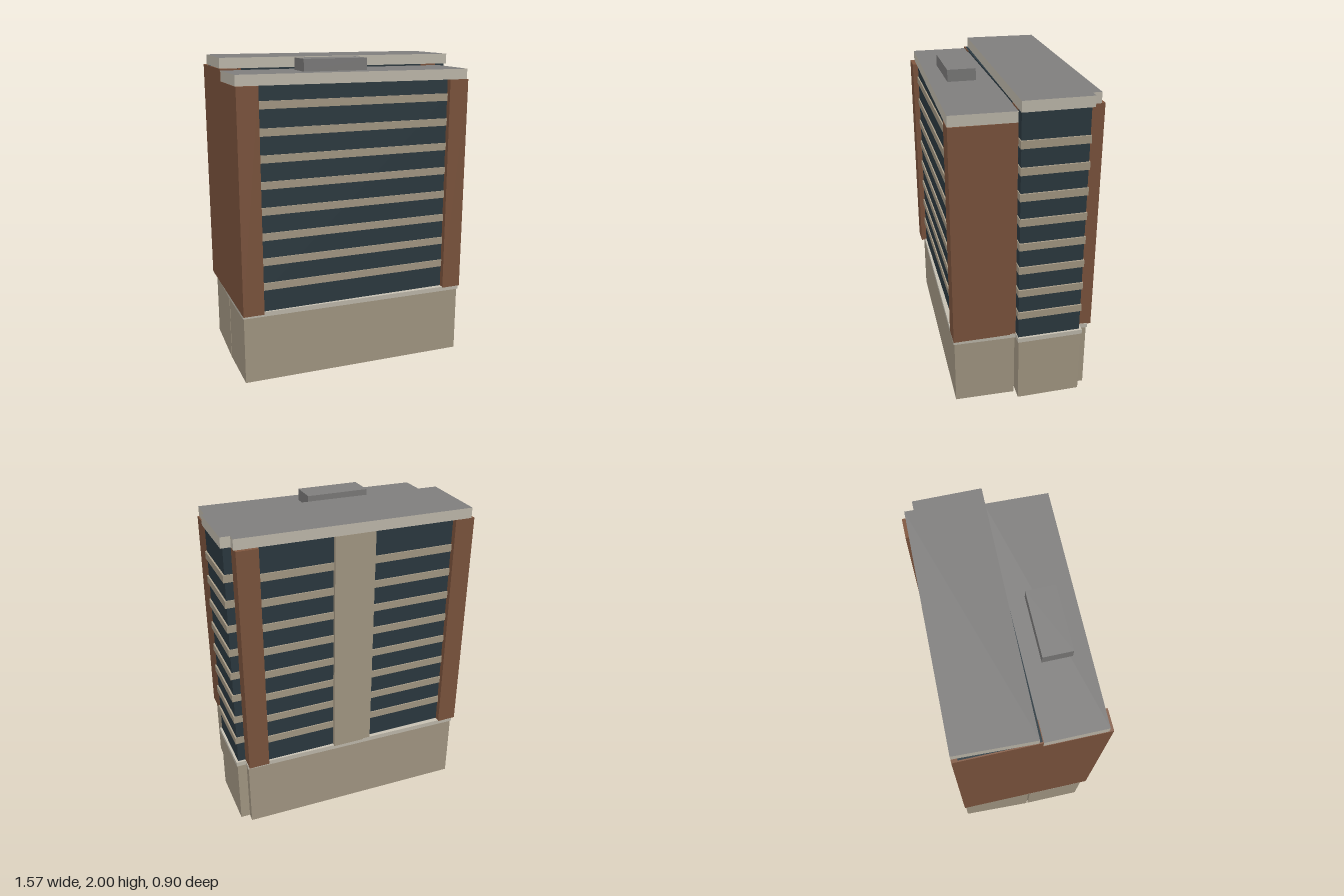
import * as THREE from 'three';

const flat = (name, color) => Object.assign(new THREE.MeshStandardMaterial({ color }), { name });

export function createModel() {
  const brick = flat('brick', 0x80573f);
  const glass = flat('dark glass', 0x2d3b42);
  const stone = flat('tan stone', 0xa99d88);
  const trim = flat('pale trim', 0xc6c0b2);
  const roofGrey = flat('roof grey', 0x7f7e7d);

  const model = new THREE.Group();
  model.name = 'officeTower';

  // box given by its limits on each axis
  function block(name, mat, x0, x1, y0, y1, z0, z1, parent = model) {
    const mesh = new THREE.Mesh(new THREE.BoxGeometry(x1 - x0, y1 - y0, z1 - z0), mat);
    mesh.position.set((x0 + x1) / 2, (y0 + y1) / 2, (z0 + z1) / 2);
    mesh.name = name;
    parent.add(mesh);
  }

  // footprint outline [x, z] raised from y0 to y1, drawn in by a small margin
  function slab(name, mats, outline, y0, y1, margin = 0) {
    const xs = outline.map(p => p[0]), zs = outline.map(p => p[1]);
    const cx = (Math.min(...xs) + Math.max(...xs)) / 2;
    const cz = (Math.min(...zs) + Math.max(...zs)) / 2;
    const shape = new THREE.Shape(outline.map(([x, z]) => new THREE.Vector2(
      x - Math.sign(x - cx) * margin, -(z - Math.sign(z - cz) * margin))));
    const geo = new THREE.ExtrudeGeometry(shape, { depth: y1 - y0, bevelEnabled: false });
    geo.rotateX(-Math.PI / 2).translate(0, y0, 0);
    const mesh = new THREE.Mesh(geo, mats);
    mesh.name = name;
    model.add(mesh);
  }

  // slightly skewed footprints of the two slabs
  const frontPlan = [[-0.785, 0.026], [0.725, 0.05], [0.714, 0.445], [-0.785, 0.418]];
  const rearPlan = [[-0.767, -0.45], [0.727, -0.426], [0.725, -0.37], [0.785, -0.37],
    [0.785, 0.05], [-0.785, 0.026]];

  const base = 0.46, frontTop = 1.86, rearTop = 1.935;

  // podium and its coping
  for (const [side, plan] of [['front', frontPlan], ['rear', rearPlan]]) {
    slab(side + 'Podium', stone, plan, 0, 0.436, 0.006);
    slab(side + 'PodiumCoping', trim, plan, 0.436, 0.466);
  }

  // roofs: grey deck with pale parapet sides
  slab('frontRoof', [roofGrey, trim], frontPlan, frontTop, 1.925);
  slab('rearRoof', [roofGrey, trim], rearPlan, rearTop, 2);
  block('roofPlant', roofGrey, -0.34, 0.07, 1.92, 2, 0.147, 0.325);

  // glazed cores
  block('frontGlass', glass, -0.78, 0.71, base, frontTop, 0.03, 0.41);
  block('rearGlass', glass, -0.78, 0.77, base, rearTop, -0.355, 0.045);
  block('backGlass', glass, -0.78, 0.71, base, rearTop, -0.415, -0.35);

  // spandrel bands on every floor
  const bands = new THREE.Group();
  bands.name = 'spandrelBands';
  model.add(bands);
  for (let i = 0; i < 8; i++) {
    const y0 = 0.606 + i * 0.1597, y1 = y0 + 0.047;
    block('frontBand', stone, -0.66, 0.6, y0, y1, 0.4, 0.418, bands);
    block('sideBand', stone, 0.7, 0.78, y0, y1, -0.36, 0.05, bands);
    block('backBand', stone, -0.67, 0.6, y0, y1, -0.423, -0.4, bands);
  }

  // stone stair strip in the middle of the back
  block('backStrip', stone, -0.13, 0.13, base, rearTop, -0.439, -0.4);

  // brick walls and corner piers
  block('frontLeftWall', brick, 0.595, 0.724, base, frontTop, 0.05, 0.446);
  block('frontRightPier', brick, -0.788, -0.655, base, frontTop, 0.35, 0.446);
  block('frontRightWall', brick, -0.788, -0.775, base, frontTop, 0.05, 0.35);
  block('rearRightWall', brick, -0.788, -0.775, base, rearTop, -0.35, 0.05);
  block('backRightPier', brick, -0.788, -0.66, base, rearTop, -0.45, -0.35);
  block('backLeftPier', brick, 0.59, 0.722, base, rearTop, -0.45, -0.354);
  block('rearFrontPierRight', brick, -0.788, -0.655, base, rearTop, 0.03, 0.05);
  block('rearFrontPierLeft', brick, 0.59, 0.7, base, rearTop, 0.03, 0.05);

  return model;
}
